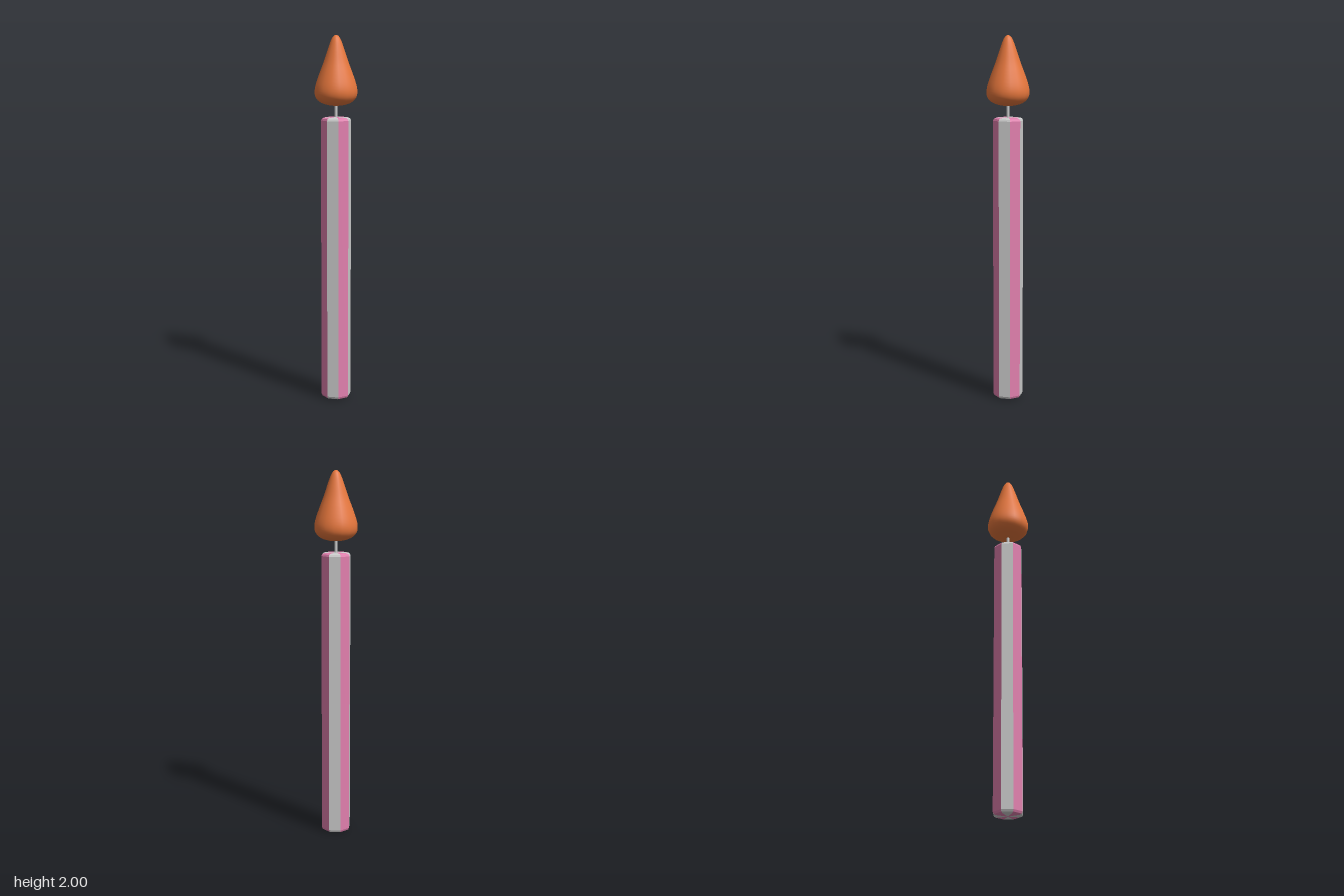
import * as THREE from 'three';

const profile = (pairs) => pairs.map(([r, y]) => new THREE.Vector2(r, y));

function addMesh(parent, name, geometry, material) {
  const mesh = new THREE.Mesh(geometry, material);
  mesh.name = name;
  parent.add(mesh);
  return mesh;
}

export function createModel() {
  const group = new THREE.Group();
  group.name = 'candle';

  const grey = new THREE.MeshStandardMaterial({ color: 0xcccccc });
  const greyFlat = new THREE.MeshStandardMaterial({ color: 0xcccccc, flatShading: true });
  const pinkFlat = new THREE.MeshStandardMaterial({ color: 0xe07fad, flatShading: true });
  const orange = new THREE.MeshStandardMaterial({ color: 0xe5763c });

  // Eight-sided wax stick, one wedge per side, alternating grey and pink
  const stick = new THREE.Group();
  stick.name = 'waxStick';
  group.add(stick);
  const stickProfile = profile([
    [0, 0], [0.066, 0.002], [0.077, 0.007], [0.082, 0.018],
    [0.082, 1.548], [0.077, 1.558], [0.066, 1.563], [0, 1.566],
  ]);
  const sides = 8;
  const step = (Math.PI * 2) / sides;
  for (let i = 0; i < sides; i++) {
    const wedge = new THREE.LatheGeometry(stickProfile, 1, i * step, step);
    addMesh(stick, i % 2 ? 'pinkStripe' : 'greyStripe', wedge, i % 2 ? pinkFlat : greyFlat);
  }

  // Wick
  const wick = addMesh(group, 'wick', new THREE.CylinderGeometry(0.008, 0.008, 0.1, 8), grey);
  wick.position.y = 1.6;

  // Teardrop flame, smooth with sixteen sides
  const flameCurve = new THREE.SplineCurve(profile([
    [0, 1.625], [0.04, 1.629], [0.08, 1.642], [0.106, 1.664], [0.116, 1.695], [0.11, 1.738],
    [0.089, 1.8], [0.066, 1.86], [0.046, 1.92], [0.028, 1.97], [0.014, 1.993], [0, 2],
  ]));
  const flamePoints = flameCurve.getPoints(33);
  flamePoints.forEach((p) => { p.x = Math.max(p.x, 0); });
  addMesh(group, 'flame', new THREE.LatheGeometry(flamePoints, 16), orange);

  return group;
}
